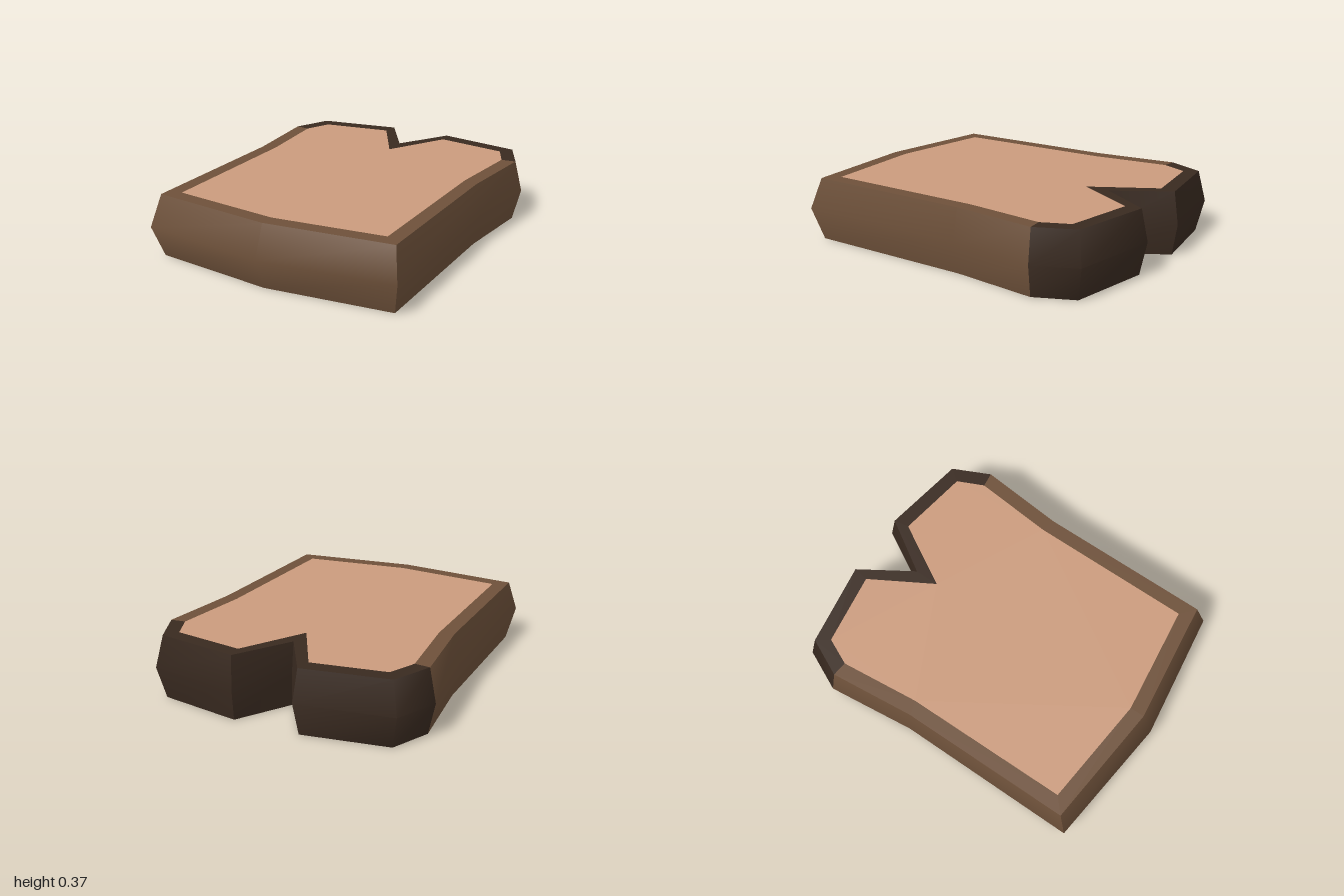
import * as THREE from 'three';
import { toCreasedNormals } from 'three/addons/utils/BufferGeometryUtils.js';

const HEIGHT = 0.37;

// Half outlines as [x, z], from the front centre round the +x side to the notch
const MID = [[0, 1], [0.77, 0.905], [0.77, -0.16], [0.83, -0.68], [0.72, -0.92], [0.18, -1], [0, -0.68]];
const EDGE = [[0, 0.925], [0.73, 0.845], [0.735, -0.165], [0.787, -0.665], [0.685, -0.885], [0.195, -0.965], [0, -0.655]];
const INNER = [[0, 0.84], [0.645, 0.77], [0.652, -0.19], [0.7, -0.655], [0.63, -0.81], [0.21, -0.875], [0, -0.51]];
const BURNT_FROM = 3; // outline point where the dark crust begins

const mirror = (half) => [...half, ...half.slice(1, -1).reverse().map(([x, z]) => [-x, z])];

// Crust: rings from the lower rim, round the bulging wall, to the upper rim
function crustGeometry() {
  const rings = [[INNER, 0], [EDGE, 0], [MID, HEIGHT / 2], [EDGE, HEIGHT], [INNER, HEIGHT]]
    .map(([half, y]) => mirror(half).map(([x, z]) => [x, y, z]));
  const n = rings[0].length;
  const pale = [], burnt = [];
  for (let r = 0; r < rings.length - 1; r++) {
    for (let i = 0; i < n; i++) {
      const j = (i + 1) % n;
      const a = rings[r][i], b = rings[r][j], c = rings[r + 1][j], d = rings[r + 1][i];
      const target = i >= BURNT_FROM && i < n - BURNT_FROM ? burnt : pale;
      target.push(...a, ...b, ...c, ...a, ...c, ...d);
    }
  }
  const geometry = new THREE.BufferGeometry();
  geometry.setAttribute('position', new THREE.Float32BufferAttribute([...pale, ...burnt], 3));
  const creased = toCreasedNormals(geometry, THREE.MathUtils.degToRad(62));
  creased.clearGroups();
  creased.addGroup(0, pale.length / 3, 0);
  creased.addGroup(pale.length / 3, burnt.length / 3, 1);
  return creased;
}

// Crumb face: flat sheet filling the rim, facing up (side = 1) or down (side = -1)
function crumbGeometry(side) {
  const points = mirror(INNER).map(([x, z]) => new THREE.Vector2(x, -side * z));
  return new THREE.ShapeGeometry(new THREE.Shape(points)).rotateX(-side * Math.PI / 2);
}

export function createModel() {
  const crustBrown = new THREE.MeshStandardMaterial({ color: 0x6e513a });
  crustBrown.name = 'crust brown';
  const burntBrown = new THREE.MeshStandardMaterial({ color: 0x392a20 });
  burntBrown.name = 'burnt brown';
  const crumbTan = new THREE.MeshStandardMaterial({ color: 0xcb9b7d });
  crumbTan.name = 'crumb tan';

  const group = new THREE.Group();
  group.name = 'breadSlice';
  const add = (name, geometry, material, y = 0) => {
    const mesh = new THREE.Mesh(geometry, material);
    mesh.name = name;
    mesh.position.y = y;
    group.add(mesh);
  };

  add('crust', crustGeometry(), [crustBrown, burntBrown]);
  add('upperCrumb', crumbGeometry(1), crumbTan, HEIGHT);
  add('lowerCrumb', crumbGeometry(-1), crumbTan);
  return group;
}
